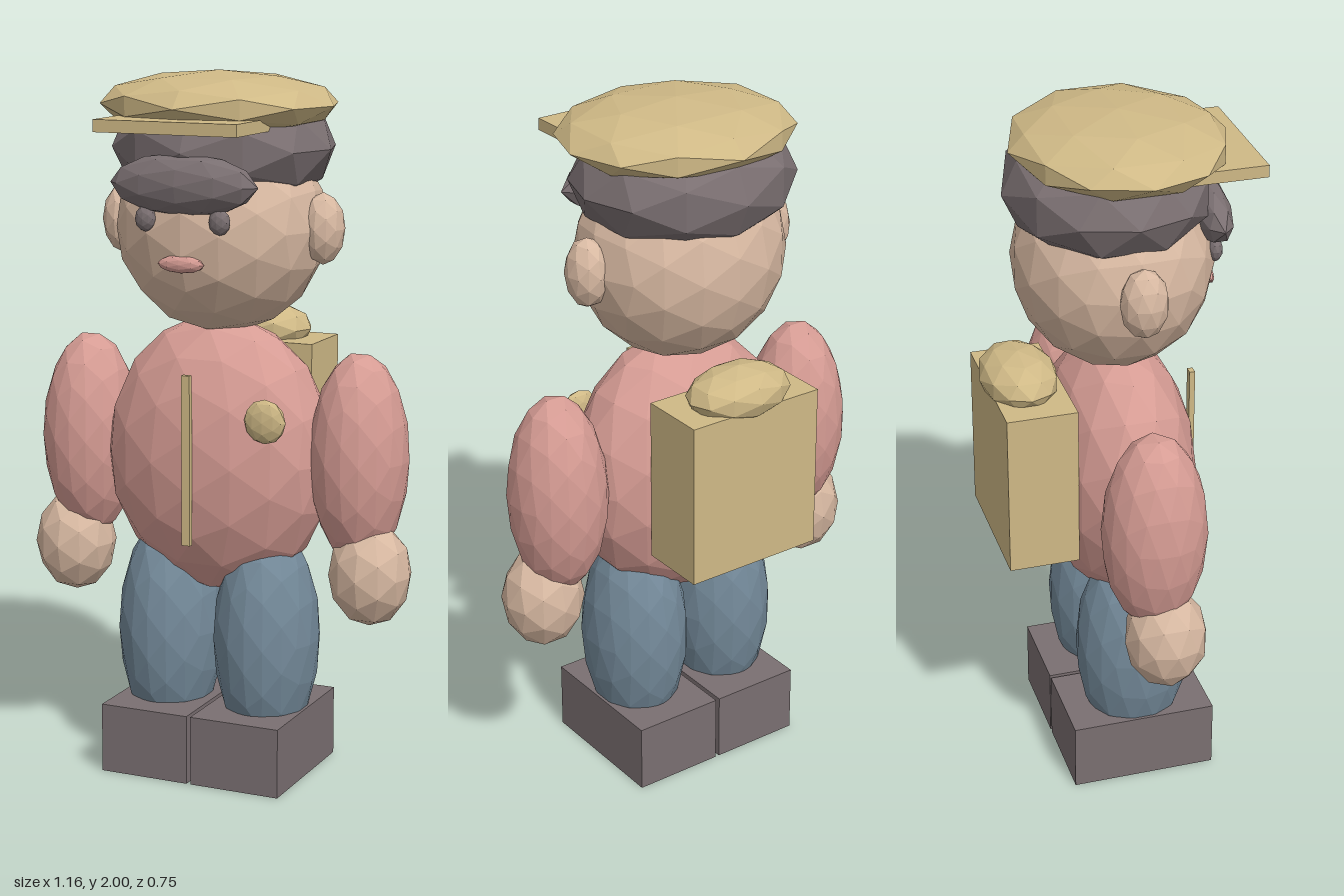
import * as THREE from 'three';

const flat = (name, color) => {
  const m = new THREE.MeshStandardMaterial({ color, flatShading: true });
  m.name = name;
  return m;
};

export function createModel() {
  const group = new THREE.Group();
  const skin = flat('skin', 0xd8b9a2);
  const pink = flat('pink', 0xd69c94);
  const blue = flat('denim blue', 0x748a9a);
  const dark = flat('dark brown', 0x7a6f71);
  const tan = flat('tan', 0xcfb986);

  const add = (name, geometry, material, pos) => {
    const mesh = new THREE.Mesh(geometry, material);
    mesh.name = name;
    mesh.position.set(...pos);
    group.add(mesh);
    return mesh;
  };
  // faceted ellipsoid given by its centre and radii
  const blob = (name, mat, pos, radii, detail = 1) =>
    add(name, new THREE.IcosahedronGeometry(1, detail).scale(...radii), mat, pos);
  const box = (name, mat, pos, size) => add(name, new THREE.BoxGeometry(...size), mat, pos);

  // torso and head
  blob('torso', pink, [0, 0.92, 0.015], [0.34, 0.4, 0.22], 2);
  blob('head', skin, [0, 1.57, 0.005], [0.3, 0.3, 0.278], 2);
  blob('mouth', pink, [0, 1.492, 0.272], [0.07, 0.024, 0.018]);

  // hair and fringe
  blob('hair', dark, [0, 1.79, -0.01], [0.32, 0.18, 0.29]);
  blob('fringe', dark, [0, 1.705, 0.255], [0.22, 0.085, 0.063]);

  // cap with a flat peak
  blob('cap', tan, [0, 1.91, 0.022], [0.34, 0.09, 0.302]);
  box('capPeak', tan, [0, 1.865, 0.265], [0.42, 0.034, 0.22]);

  // jacket zip and badge
  box('zip', tan, [0, 0.942, 0.24], [0.025, 0.48, 0.016]);
  blob('badge', tan, [0.215, 1.062, 0.195], [0.062, 0.062, 0.024]);

  // backpack with a rolled top
  box('backpack', tan, [0, 0.983, -0.25], [0.42, 0.476, 0.2]);
  blob('backpackRoll', tan, [0, 1.245, -0.265], [0.16, 0.076, 0.11]);

  // mirrored parts
  for (const [side, s] of [['left', 1], ['right', -1]]) {
    blob(side + 'Eye', dark, [s * 0.11, 1.61, 0.262], [0.031, 0.036, 0.022]);
    blob(side + 'Ear', skin, [s * 0.305, 1.575, 0.005], [0.06, 0.1, 0.067]);
    blob(side + 'Arm', pink, [s * 0.418, 0.94, 0.003], [0.14, 0.3, 0.147], 2);
    blob(side + 'Hand', skin, [s * 0.462, 0.62, 0.025], [0.118, 0.15, 0.117]);
    blob(side + 'Leg', blue, [s * 0.15, 0.4, 0.025], [0.15, 0.335, 0.168], 2);
    box(side + 'Shoe', dark, [s * 0.14, 0.1, 0.025], [0.268, 0.2, 0.42]);
  }
  return group;
}
